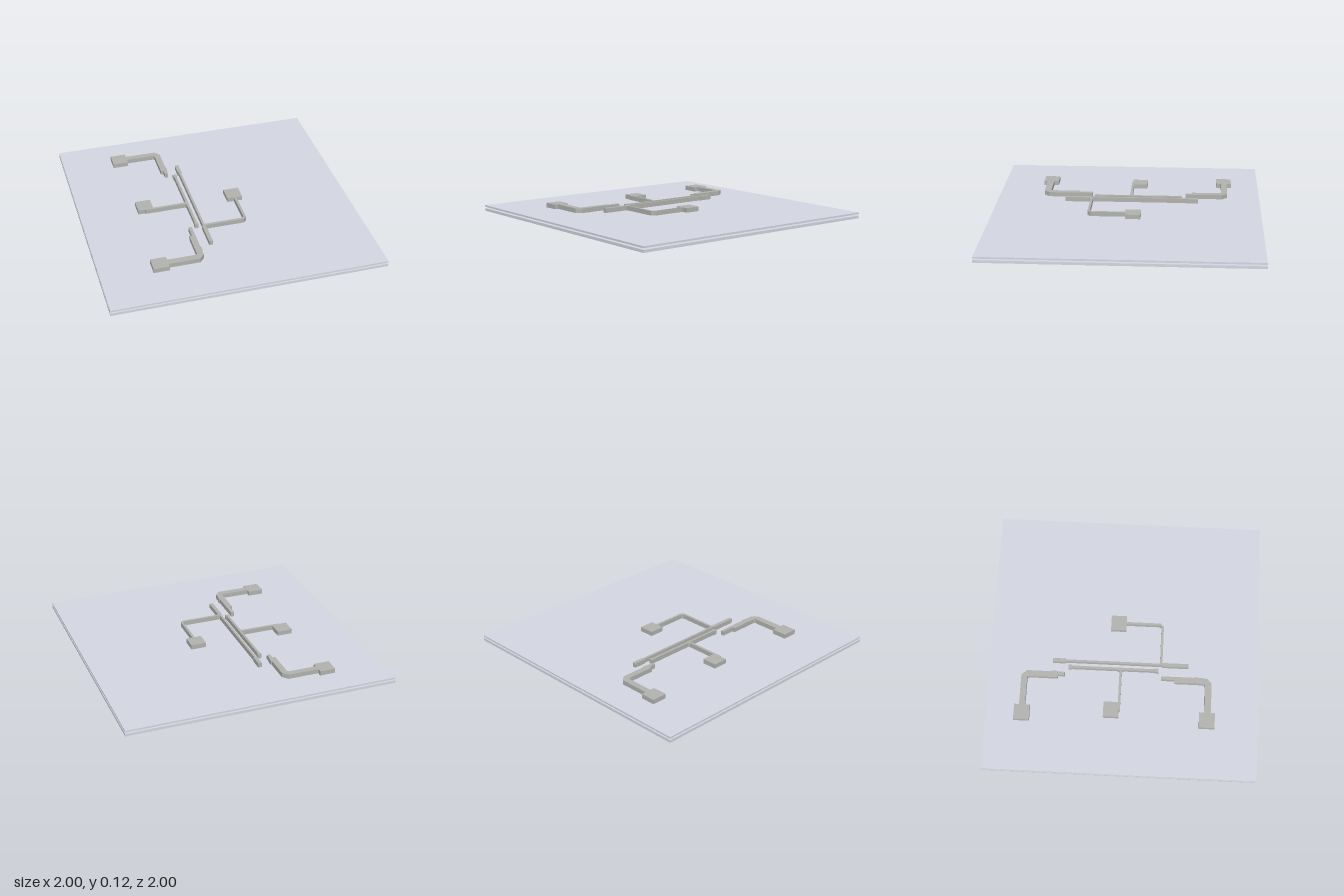
import * as THREE from 'three';

const material = (color) => new THREE.MeshStandardMaterial({ color });

export function createModel() {
  const model = new THREE.Group();
  const slabMat = material(0xd4d7e2);
  const metalMat = material(0xb2b2ae);
  const redMat = material(0xd87a72);
  const greenMat = material(0x86b886);
  const viaMat = material(0xb4bace);

  // Heights of the stacked layers
  const Y = { base: 0, gate: 0.018, slab: 0.04, gap: 0.06, upper: 0.071, metal: 0.084, top: 0.118 };

  // Box given by its extents on each axis
  function box(name, mat, x0, x1, y0, y1, z0, z1) {
    const mesh = new THREE.Mesh(new THREE.BoxGeometry(x1 - x0, y1 - y0, z1 - z0), mat);
    mesh.position.set((x0 + x1) / 2, (y0 + y1) / 2, (z0 + z1) / 2);
    mesh.name = name;
    model.add(mesh);
  }

  // Metal trace extruded from an outline of [x, z] corners
  function trace(name, outline) {
    const shape = new THREE.Shape(outline.map(([x, z]) => new THREE.Vector2(x, z)));
    const geo = new THREE.ExtrudeGeometry(shape, { depth: Y.top - Y.metal, bevelEnabled: false });
    geo.rotateX(Math.PI / 2).translate(0, Y.top, 0);
    const mesh = new THREE.Mesh(geo, metalMat);
    mesh.name = name;
    model.add(mesh);
  }

  // Two insulating slabs with an open gap
  box('lowerSlab', slabMat, -1, 1, Y.slab, Y.gap, -1, 1);
  box('upperSlab', slabMat, -1, 1, Y.upper, Y.metal, -1, 1);

  // Supply traces with square pads
  trace('backSupplyTrace', [
    [-0.625, -0.79], [-0.51, -0.79], [-0.51, -0.755], [-0.28, -0.755], [-0.245, -0.715],
    [-0.245, -0.53], [-0.24, -0.53], [-0.24, -0.485], [-0.245, -0.485], [-0.245, -0.435],
    [-0.27, -0.435], [-0.27, -0.485], [-0.29, -0.485], [-0.29, -0.7], [-0.3, -0.71],
    [-0.51, -0.71], [-0.51, -0.675], [-0.625, -0.675],
  ]);
  trace('frontSupplyTrace', [
    [-0.625, 0.685], [-0.51, 0.685], [-0.51, 0.655], [-0.28, 0.655], [-0.245, 0.615],
    [-0.245, 0.555], [-0.24, 0.555], [-0.24, 0.525], [-0.245, 0.525], [-0.245, 0.28],
    [-0.27, 0.28], [-0.27, 0.38], [-0.29, 0.38], [-0.29, 0.595], [-0.3, 0.605],
    [-0.51, 0.605], [-0.51, 0.57], [-0.625, 0.57],
  ]);

  // Input trace running to both gates
  trace('inputTrace', [
    [-0.575, -0.135], [-0.46, -0.135], [-0.46, -0.03], [-0.22, -0.03], [-0.21, -0.04],
    [-0.21, -0.385], [-0.215, -0.385], [-0.215, -0.41], [-0.187, -0.41], [-0.187, -0.385],
    [-0.192, -0.385], [-0.192, 0.23], [-0.187, 0.23], [-0.187, 0.26], [-0.215, 0.26],
    [-0.215, 0.23], [-0.21, 0.23], [-0.21, 0], [-0.22, -0.012], [-0.52, -0.012],
    [-0.52, -0.02], [-0.575, -0.02],
  ]);

  // Output trace joining both drains
  trace('outputTrace', [
    [-0.168, -0.53], [-0.14, -0.53], [-0.14, -0.435], [-0.146, -0.435], [-0.146, 0.268],
    [0.145, 0.268], [0.155, 0.255], [0.155, 0.005], [0.105, 0.005], [0.105, -0.11],
    [0.22, -0.11], [0.22, 0.005], [0.173, 0.005], [0.173, 0.262], [0.15, 0.286],
    [-0.14, 0.286], [-0.14, 0.48], [-0.168, 0.48], [-0.168, 0.285], [-0.162, 0.285],
    [-0.162, -0.435], [-0.168, -0.435],
  ]);

  // Contact: narrow pillars with a pad in the gap
  const xSource = -0.255, xGate = -0.201, xDrain = -0.154;
  function contact(name, x, z0, z1, bottom, pillars, padMat) {
    box(name + 'Pad', padMat, x - 0.014, x + 0.014, Y.gap, Y.upper, z0, z1);
    for (const z of pillars) {
      box(name + 'Pillar', viaMat, x - 0.007, x + 0.007, bottom, Y.slab, z - 0.007, z + 0.007);
      box(name + 'UpperPillar', viaMat, x - 0.007, x + 0.007, Y.upper, Y.metal, z - 0.007, z + 0.007);
    }
  }

  // Two transistors: active plate, gate strip, contacts and a body tap
  const transistors = [
    { name: 'front', mat: redMat, tapMat: greenMat, z: [0.285, 0.48], gate: [0.235, 0.502],
      gatePad: [0.235, 0.265], pillars: [0.335, 0.38, 0.425], tap: 0.545 },
    { name: 'back', mat: greenMat, tapMat: redMat, z: [-0.525, -0.43], gate: [-0.545, -0.38],
      gatePad: [-0.41, -0.38], pillars: [-0.5, -0.455], tap: -0.64 },
  ];
  for (const t of transistors) {
    box(t.name + 'ActivePlate', t.mat, -0.295, -0.11, Y.base, Y.gate, ...t.z);
    box(t.name + 'Gate', redMat, xGate - 0.012, xGate + 0.012, Y.gate, Y.slab, ...t.gate);
    contact(t.name + 'Source', xSource, ...t.z, Y.gate, t.pillars, metalMat);
    contact(t.name + 'Drain', xDrain, ...t.z, Y.gate, t.pillars, metalMat);
    contact(t.name + 'GateContact', xGate, ...t.gatePad, Y.gate,
      [(t.gatePad[0] + t.gatePad[1]) / 2], metalMat);
    box(t.name + 'BodyTap', t.tapMat, xSource - 0.014, xSource + 0.014, Y.base, Y.gate,
      t.tap - 0.014, t.tap + 0.014);
    contact(t.name + 'BodyContact', xSource, t.tap - 0.014, t.tap + 0.014, Y.gate, [t.tap], metalMat);
  }
  return model;
}
